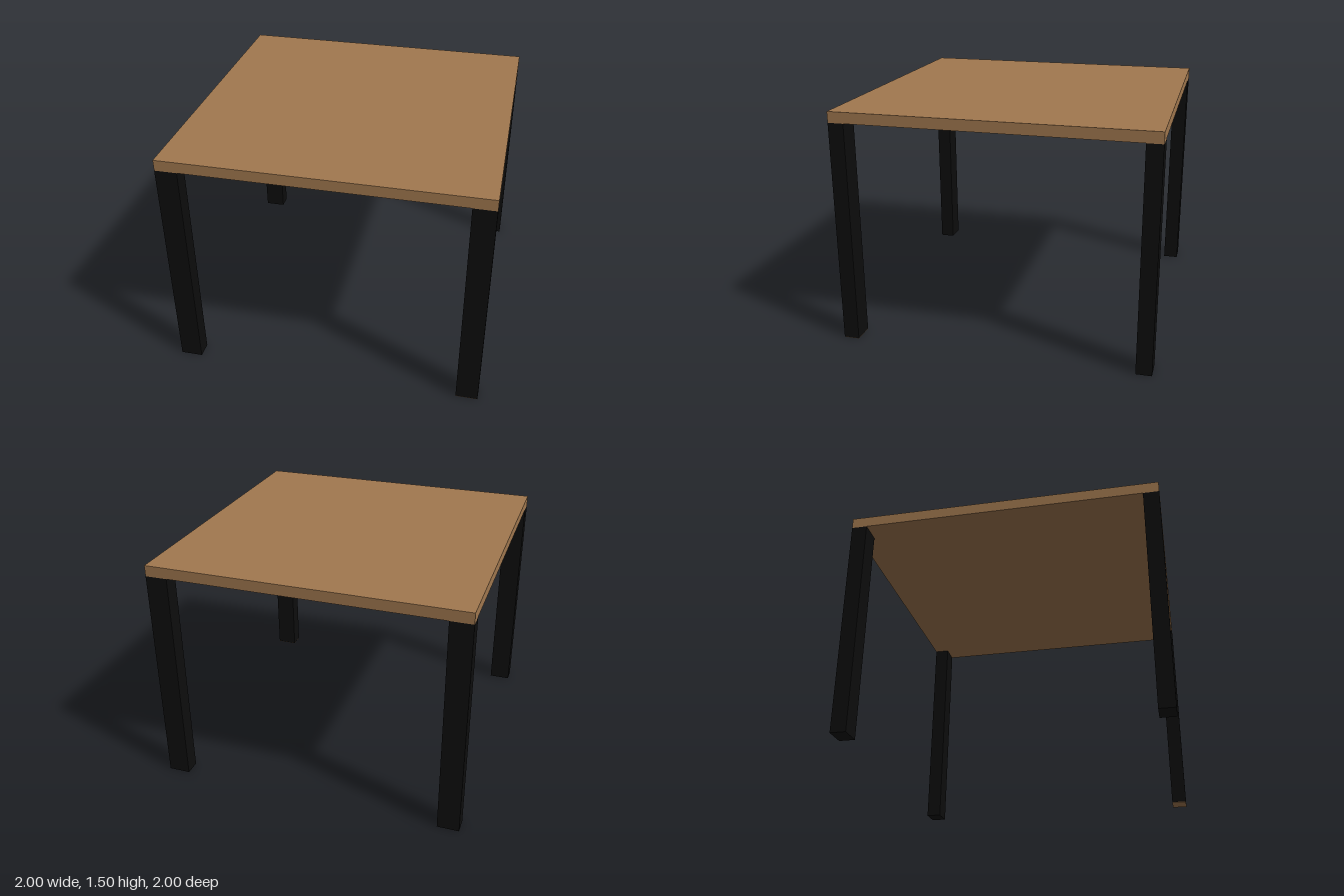
import * as THREE from 'three';

const wood = new THREE.MeshStandardMaterial({ color: 0xa1784f });
const black = new THREE.MeshStandardMaterial({ color: 0x0d0d0d });

const TOP = 1.505, UNDER = 1.435; // heights of the table top's two faces
const LEG_W = 0.14, LEG_D = 0.1, CAP = 0.003;

function box(name, size, position, material) {
  const mesh = new THREE.Mesh(new THREE.BoxGeometry(...size), material);
  mesh.name = name;
  mesh.position.set(...position);
  return mesh;
}

export function createModel() {
  const table = new THREE.Group();
  table.name = 'table';

  // Square top slab
  table.add(box('tableTop', [2, TOP - UNDER, 2], [0, (TOP + UNDER) / 2, 0], wood));

  // Four legs flush with the corners
  for (const [sx, sideName] of [[1, 'Left'], [-1, 'Right']]) {
    for (const [sz, endName] of [[1, 'front'], [-1, 'back']]) {
      const x = sx * (1 - LEG_W / 2);
      const z = sz * (1 - LEG_D / 2);
      // The front left leg stands on a thin wooden foot cap
      const bottom = sx > 0 && sz > 0 ? CAP : 0;
      table.add(box(`${endName}${sideName}Leg`, [LEG_W, UNDER - bottom, LEG_D], [x, (UNDER + bottom) / 2, z], black));
      if (bottom) table.add(box('footCap', [LEG_W, CAP, LEG_D], [x, CAP / 2, z], wood));
    }
  }
  return table;
}
